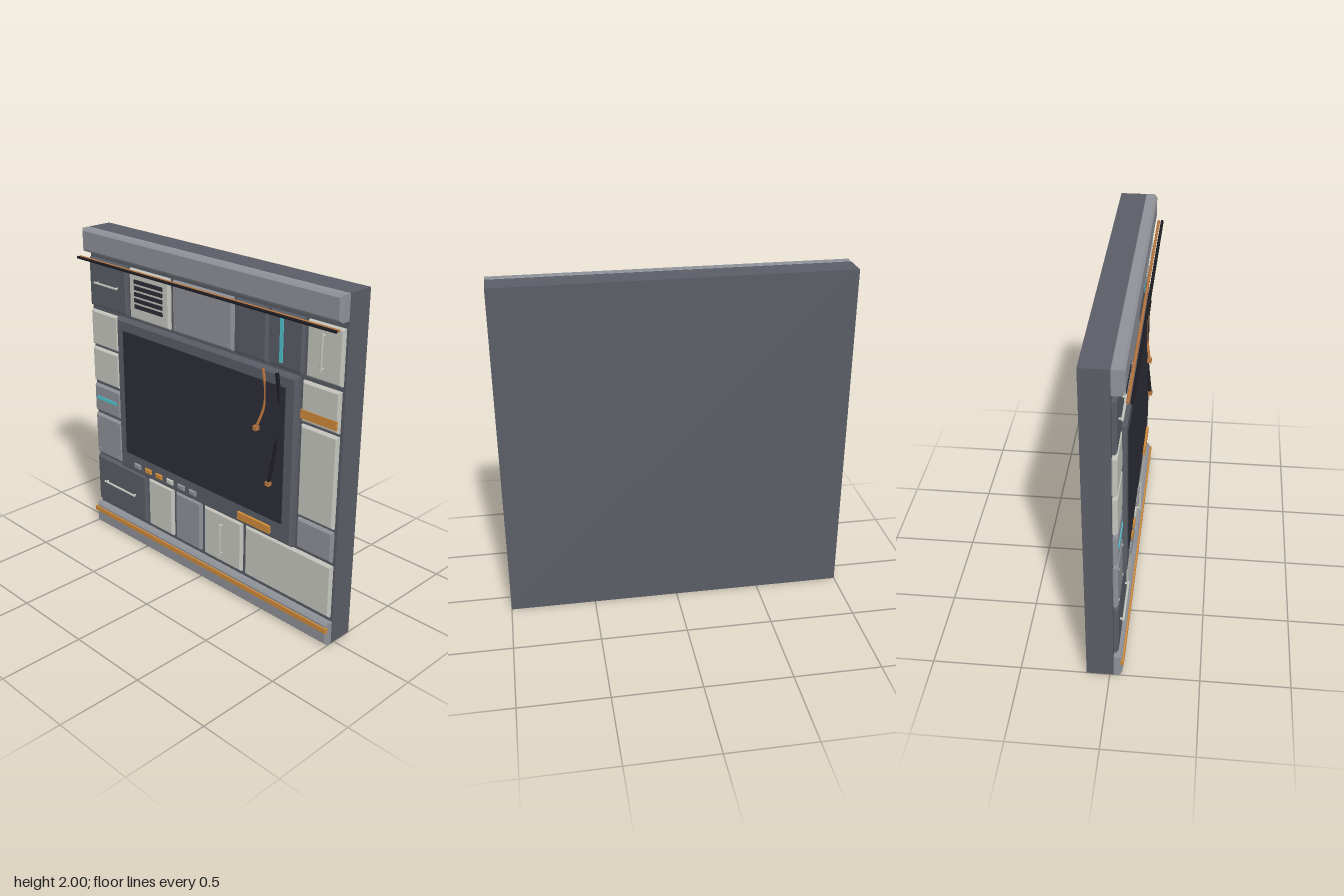
import * as THREE from 'three';

const mat = (name, color, side = THREE.FrontSide) => {
  const m = new THREE.MeshStandardMaterial({ color, side });
  m.name = name;
  return m;
};

export function createModel() {
  const dark = mat('dark grey', 0x5a5d66);
  const grey = mat('mid grey', 0x8e9197);
  const light = mat('warm white', 0xc6c6bf);
  const orange = mat('orange', 0xcf8a3a);
  const cyan = mat('cyan', 0x4fc3d0);
  const glass = mat('screen glass', 0x2d2d37);
  const black = mat('black rubber', 0x1c1c22);
  const copper = mat('copper', 0xb8763f);

  const root = new THREE.Group();
  root.name = 'wallPanel';
  const add = (name, geo, material, parent = root) => {
    const m = new THREE.Mesh(geo, material);
    m.name = name;
    parent.add(m);
    return m;
  };

  // Plain box given by its limits
  const box = (name, x0, x1, y0, y1, z0, z1, material, parent) => {
    const geo = new THREE.BoxGeometry(x1 - x0, y1 - y0, z1 - z0);
    geo.translate((x0 + x1) / 2, (y0 + y1) / 2, (z0 + z1) / 2);
    return add(name, geo, material, parent);
  };

  // Box with chamfered edges given by its limits
  const chamfer = (name, x0, x1, y0, y1, z0, z1, c, material, parent) => {
    const s = new THREE.Shape();
    s.moveTo(x0 + c, y0 + c);
    s.lineTo(x1 - c, y0 + c);
    s.lineTo(x1 - c, y1 - c);
    s.lineTo(x0 + c, y1 - c);
    s.closePath();
    const geo = new THREE.ExtrudeGeometry(s, {
      depth: z1 - z0 - 2 * c, bevelEnabled: true, bevelSegments: 1, bevelSize: c, bevelThickness: c,
    });
    geo.translate(0, 0, z0 + c);
    return add(name, geo, material, parent);
  };

  // Backing wall and the two rails
  box('backing', -1, 1, 0, 2, -0.13, 0.02, dark);
  chamfer('topRail', -1, 1, 1.86, 2, 0.01, 0.088, 0.014, grey);
  chamfer('bottomRail', -1, 1, 0, 0.14, 0.01, 0.068, 0.014, grey);
  box('bottomRailStripe', -1, 1, 0.085, 0.115, 0.06, 0.078, orange);

  // Cladding panels: name, x limits, y limits, colour
  const panels = [
    ['topDrawer', -0.99, -0.645, 1.52, 1.82, dark],
    ['ventPanel', -0.615, -0.27, 1.52, 1.82, light],
    ['topAccessPanel', -0.24, 0.235, 1.52, 1.82, grey],
    ['topDarkPanel', 0.26, 0.485, 1.52, 1.82, dark],
    ['topLampPanel', 0.51, 0.735, 1.52, 1.82, dark],
    ['topLocker', 0.76, 0.99, 1.52, 1.82, light],
    ['sidePanel', -0.99, -0.74, 1.265, 1.49, light],
    ['sidePanel', -0.99, -0.74, 1.02, 1.245, light],
    ['sideLampPanel', -0.99, -0.74, 0.815, 0.995, grey],
    ['sideAccessPanel', -0.99, -0.74, 0.515, 0.79, grey],
    ['stripedPanel', 0.74, 0.985, 1.265, 1.49, light],
    ['tallPanel', 0.74, 0.985, 0.715, 1.245, light],
    ['sidePanel', 0.74, 0.985, 0.515, 0.695, grey],
    ['bottomDrawer', -0.99, -0.515, 0.17, 0.49, dark],
    ['bottomPanel', -0.485, -0.265, 0.17, 0.49, light],
    ['bottomPanel', -0.235, -0.015, 0.17, 0.49, grey],
    ['bottomLocker', 0.015, 0.325, 0.17, 0.49, light],
    ['bottomWidePanel', 0.355, 0.99, 0.17, 0.49, light],
  ];
  for (const [name, x0, x1, y0, y1, m] of panels) {
    chamfer(name, x0, x1, y0, y1, 0.015, 0.048, 0.01, m);
    // Corner rivets on the access panels
    if (name.includes('Access')) {
      for (const x of [x0 + 0.03, x1 - 0.03]) for (const y of [y0 + 0.03, y1 - 0.03]) {
        const geo = new THREE.CylinderGeometry(0.008, 0.008, 0.008, 8).rotateX(Math.PI / 2);
        geo.translate(x, y, 0.051);
        add('rivet', geo, grey);
      }
    }
  }

  // Vent slots
  for (let i = 0; i < 5; i++) {
    const y = 1.6 + i * 0.0375;
    box('ventSlot', -0.565, -0.32, y - 0.012, y + 0.012, 0.046, 0.053, glass);
  }

  // Bar handles on two posts
  const handle = (x, y, length, vertical) => {
    const g = new THREE.Group();
    g.name = 'handle';
    const bar = new THREE.CylinderGeometry(0.007, 0.007, length, 8);
    add('handleBar', bar, light, g).position.z = 0.066;
    for (const s of [-1, 1]) {
      const post = new THREE.CylinderGeometry(0.006, 0.006, 0.022, 8).rotateX(Math.PI / 2);
      add('handlePost', post, light, g).position.set(0, s * (length / 2 - 0.012), 0.055);
    }
    g.position.set(x, y, 0);
    if (!vertical) g.rotation.z = Math.PI / 2;
    root.add(g);
  };
  handle(-0.815, 1.675, 0.21, false);
  handle(0.873, 1.677, 0.2, true);
  handle(-0.752, 0.33, 0.3, false);
  handle(0.17, 0.328, 0.21, true);

  // Lamps and the orange band
  box('verticalLamp', 0.583, 0.605, 1.55, 1.8, 0.045, 0.053, cyan);
  box('horizontalLamp', -0.96, -0.77, 0.9, 0.922, 0.045, 0.053, cyan);
  box('orangeBand', 0.74, 0.98, 1.285, 1.335, 0.045, 0.053, orange);

  // Display with its buttons and tag
  chamfer('displayFrame', -0.725, 0.72, 0.505, 1.5, 0.015, 0.068, 0.014, dark);
  box('screen', -0.655, 0.65, 0.63, 1.43, 0.066, 0.075, glass);
  [grey, orange, orange, light, grey, grey].forEach((m, i) => {
    const x = -0.555 + i * 0.1;
    chamfer('button', x - 0.028, x + 0.028, 0.545, 0.576, 0.06, 0.08, 0.004, m);
  });
  box('displayTag', 0.325, 0.572, 0.54, 0.585, 0.06, 0.084, orange);

  // Cable runs below the top rail
  for (const [z, r, m] of [[0.099, 0.008, copper], [0.12, 0.009, black]]) {
    const geo = new THREE.CylinderGeometry(r, r, 2, 8).rotateZ(Math.PI / 2);
    add('cableRun', geo, m).position.set(0, 1.828, z);
  }

  // Loose hanging cables with copper plugs
  const cable = (points, r, m) => {
    const curve = new THREE.CatmullRomCurve3(points.map((p) => new THREE.Vector3(...p)));
    add('looseCable', new THREE.TubeGeometry(curve, 24, r, 8), m);
    const [x, y, z] = points[points.length - 1];
    box('cablePlug', x - 0.013, x + 0.013, y - 0.013, y + 0.013, z - 0.013, z + 0.013, copper);
  };
  cable([[0.497, 1.505, 0.08], [0.509, 1.38, 0.07], [0.507, 1.29, 0.073], [0.467, 1.155, 0.092]], 0.008, copper);
  cable([[0.595, 1.505, 0.08], [0.608, 1.35, 0.066], [0.607, 1.2, 0.062], [0.592, 1.06, 0.07], [0.565, 0.855, 0.092]], 0.011, black);

  return root;
}
